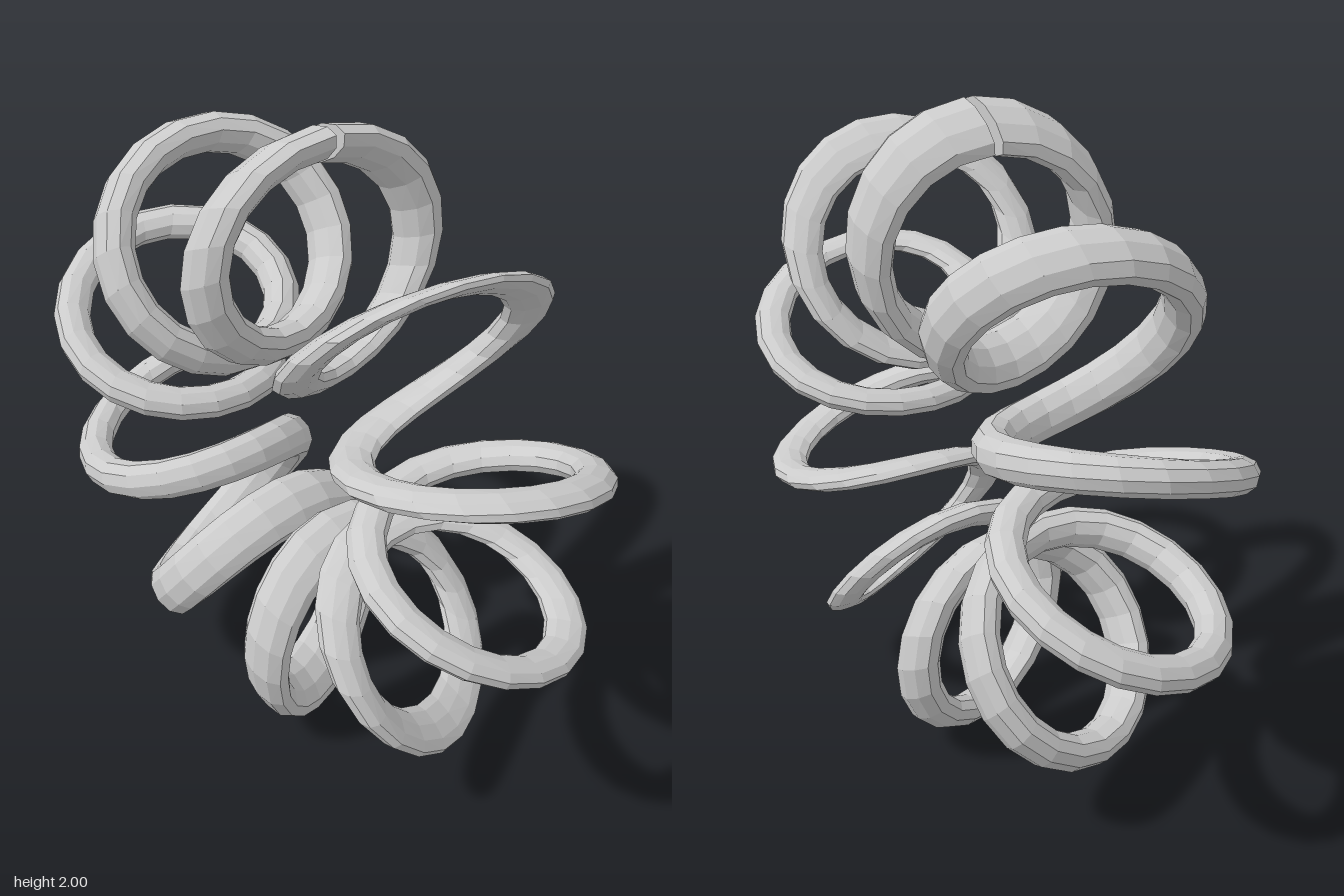
import * as THREE from 'three';

const TURNS = 10, STEPS = 20, SIDES = 10;
const RING = 0.625, COIL = 0.307, DEPTH = 0.302, THICK = 0.055;

// Half-width and lean of the oval section at -18, 18, 54 ... 198 degrees around the ring
const WIDTH = [0.04, 0.04, 0.035, 0.088, 0.085, 0.05, 0.05];
const LEAN = [-0.02, 0.02, 0.055, 0.04, 0, 0, 0];

function sample(table, degrees) {
  const s = (degrees + 18) / 36, i = Math.floor(s);
  return THREE.MathUtils.lerp(table[i], table[i + 1], s - i);
}

// Oval cross-section of the wire at angle v along the helix
function section(v) {
  const u = Math.PI / 2 + v / TURNS;
  const radial = new THREE.Vector3(Math.cos(u), Math.sin(u), 0);
  const around = new THREE.Vector3(-Math.sin(u), Math.cos(u), 0);
  const centre = radial.clone().multiplyScalar(RING + COIL * Math.cos(v));
  centre.y += 1;
  centre.z = DEPTH * Math.sin(v);
  const outward = radial.clone().multiplyScalar(Math.cos(v));
  outward.z = Math.sin(v);

  // The lower half of the ring mirrors the upper half
  const angle = Math.atan2(radial.y, radial.x);
  const degrees = THREE.MathUtils.radToDeg(Math.abs(angle));
  const wide = around.multiplyScalar(sample(WIDTH, degrees))
    .addScaledVector(radial, -Math.sign(angle) * sample(LEAN, degrees));

  const points = [];
  for (let j = 0; j < SIDES; j++) {
    const a = (j / SIDES) * Math.PI * 2;
    points.push(centre.clone()
      .addScaledVector(outward, THICK * Math.cos(a))
      .addScaledVector(wide, Math.sin(a)));
  }
  return { centre, points };
}

export function createModel() {
  const group = new THREE.Group();
  const count = TURNS * STEPS;
  const start = 0.01, end = TURNS * Math.PI * 2 - 0.06;
  const pos = [], index = [];

  // Wire surface
  for (let i = 0; i <= count; i++) {
    const { points } = section(start + ((end - start) * i) / count);
    points.forEach((p) => pos.push(p.x, p.y, p.z));
  }
  for (let i = 0; i < count; i++) {
    for (let j = 0; j < SIDES; j++) {
      const k = (j + 1) % SIDES;
      const a = i * SIDES + j, b = i * SIDES + k;
      index.push(a, b, b + SIDES, a, b + SIDES, a + SIDES);
    }
  }

  // Caps closing the two ends at the small gap
  [[start, 0], [end, count]].forEach(([v, row]) => {
    const c = section(v).centre, mid = pos.length / 3;
    pos.push(c.x, c.y, c.z);
    for (let j = 0; j < SIDES; j++) {
      const a = row * SIDES + j, b = row * SIDES + ((j + 1) % SIDES);
      if (row === 0) index.push(mid, b, a);
      else index.push(mid, a, b);
    }
  });

  const geometry = new THREE.BufferGeometry();
  geometry.setAttribute('position', new THREE.Float32BufferAttribute(pos, 3));
  geometry.setIndex(index);
  geometry.computeVertexNormals();

  const coil = new THREE.Mesh(geometry,
    new THREE.MeshStandardMaterial({ color: 0xcccccc, flatShading: true }));
  coil.name = 'ringCoil';
  group.add(coil);
  return group;
}
